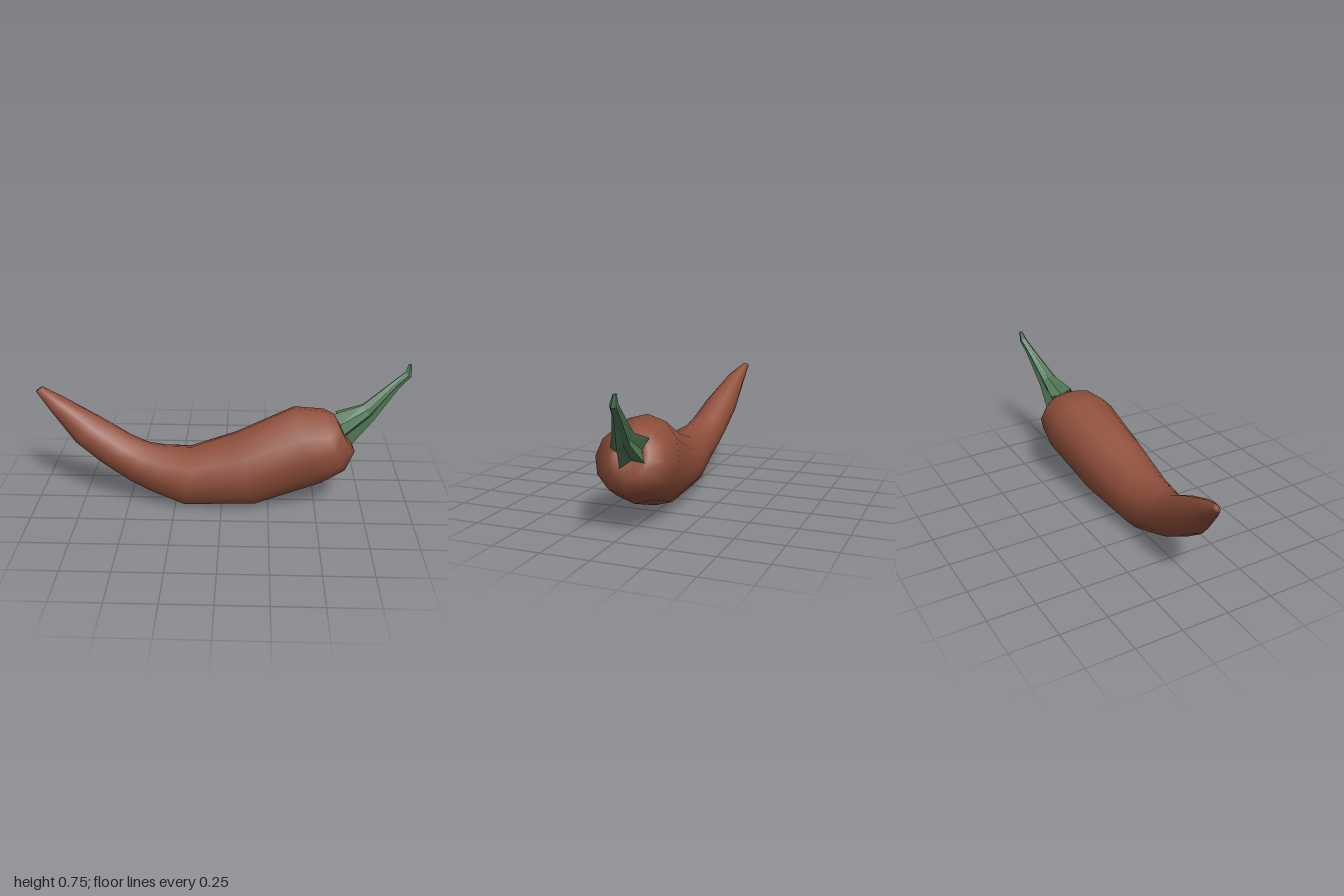
import * as THREE from 'three';

// Skin a list of closed rings (arrays of Vector3) running towards +x, with capped ends.
function loft(rings) {
  const n = rings[0].length, last = rings.length - 1;
  const mid = r => r.reduce((s, p) => s.add(p), new THREE.Vector3()).divideScalar(n);
  const points = [...rings.flat(), mid(rings[0]), mid(rings[last])];
  const start = n * rings.length, end = start + 1, index = [];
  for (let j = 0; j < n; j++) {
    const k = (j + 1) % n;
    for (let i = 0; i < last; i++) {
      const a = i * n + j, b = i * n + k;
      index.push(a, b, a + n, b, b + n, a + n);
    }
    index.push(start, k, j, end, last * n + j, last * n + k);
  }
  const geo = new THREE.BufferGeometry().setFromPoints(points);
  geo.setIndex(index);
  geo.computeVertexNormals();
  return geo;
}

// Pod: each section is top x,y, bottom x,y, back z, front z.
function makePod() {
  const sections = [
    [-0.962, 0.613, -1.0, 0.587, -0.108, -0.072],
    [-0.84, 0.56, -0.93, 0.505, -0.11, -0.01],
    [-0.64, 0.46, -0.79, 0.33, -0.11, 0.062],
    [-0.48, 0.37, -0.65, 0.225, -0.1, 0.1],
    [-0.39, 0.338, -0.5, 0.13, -0.09, 0.125],
    [-0.3, 0.33, -0.37, 0.07, -0.09, 0.155],
    [-0.16, 0.33, -0.2, 0.005, -0.108, 0.187],
    [0.07, 0.41, 0.19, 0.015, -0.15, 0.208],
    [0.37, 0.54, 0.54, 0.13, -0.207, 0.19],
    [0.53, 0.525, 0.66, 0.205, -0.195, 0.168],
    [0.6, 0.49, 0.71, 0.29, -0.135, 0.07],
    // dimple around the stem
    [0.615, 0.46, 0.67, 0.365, -0.1, 0.03],
    [0.6, 0.445, 0.63, 0.38, -0.08, 0.01],
  ];
  const sides = 12;
  const rings = sections.map(([tx, ty, bx, by, z0, z1]) =>
    Array.from({ length: sides }, (_, j) => {
      const t = j / sides * Math.PI * 2, c = Math.cos(t) / 2, s = Math.sin(t) / 2;
      return new THREE.Vector3(
        (tx + bx) / 2 + (tx - bx) * c,
        (ty + by) / 2 + (ty - by) * c,
        (z0 + z1) / 2 + (z1 - z0) * s);
    }));
  const mesh = new THREE.Mesh(loft(rings), new THREE.MeshStandardMaterial({ color: 0x8f4f3b }));
  mesh.name = 'pod';
  return mesh;
}

// Stem: five ridges, each section is centre x,y,z, ridge radius, valley ratio.
function makeStem() {
  const sections = [
    [0.638, 0.428, -0.035, 0.105, 0.55],
    [0.77, 0.507, -0.06, 0.056, 0.6],
    [0.91, 0.645, -0.1, 0.027, 0.7],
    [0.975, 0.7, -0.116, 0.021, 0.8],
    [0.983, 0.75, -0.125, 0.009, 0.9],
  ];
  const centres = sections.map(s => new THREE.Vector3(s[0], s[1], s[2]));
  const side = new THREE.Vector3(0, 0, 1);
  const rings = sections.map(([, , , r, valley], i) => {
    const along = centres[Math.min(i + 1, 4)].clone().sub(centres[Math.max(i - 1, 0)]);
    const up = new THREE.Vector3(-along.y, along.x, 0).normalize();
    return Array.from({ length: 10 }, (_, j) => {
      const t = Math.PI / 2 + j * Math.PI / 5, rad = j % 2 ? r * valley : r;
      return centres[i].clone()
        .addScaledVector(up, Math.cos(t) * rad)
        .addScaledVector(side, Math.sin(t) * rad);
    });
  });
  const mesh = new THREE.Mesh(loft(rings),
    new THREE.MeshStandardMaterial({ color: 0x4f7656, flatShading: true }));
  mesh.name = 'stem';
  return mesh;
}

export function createModel() {
  const group = new THREE.Group();
  group.name = 'chiliPepper';
  group.add(makePod(), makeStem());
  return group;
}
